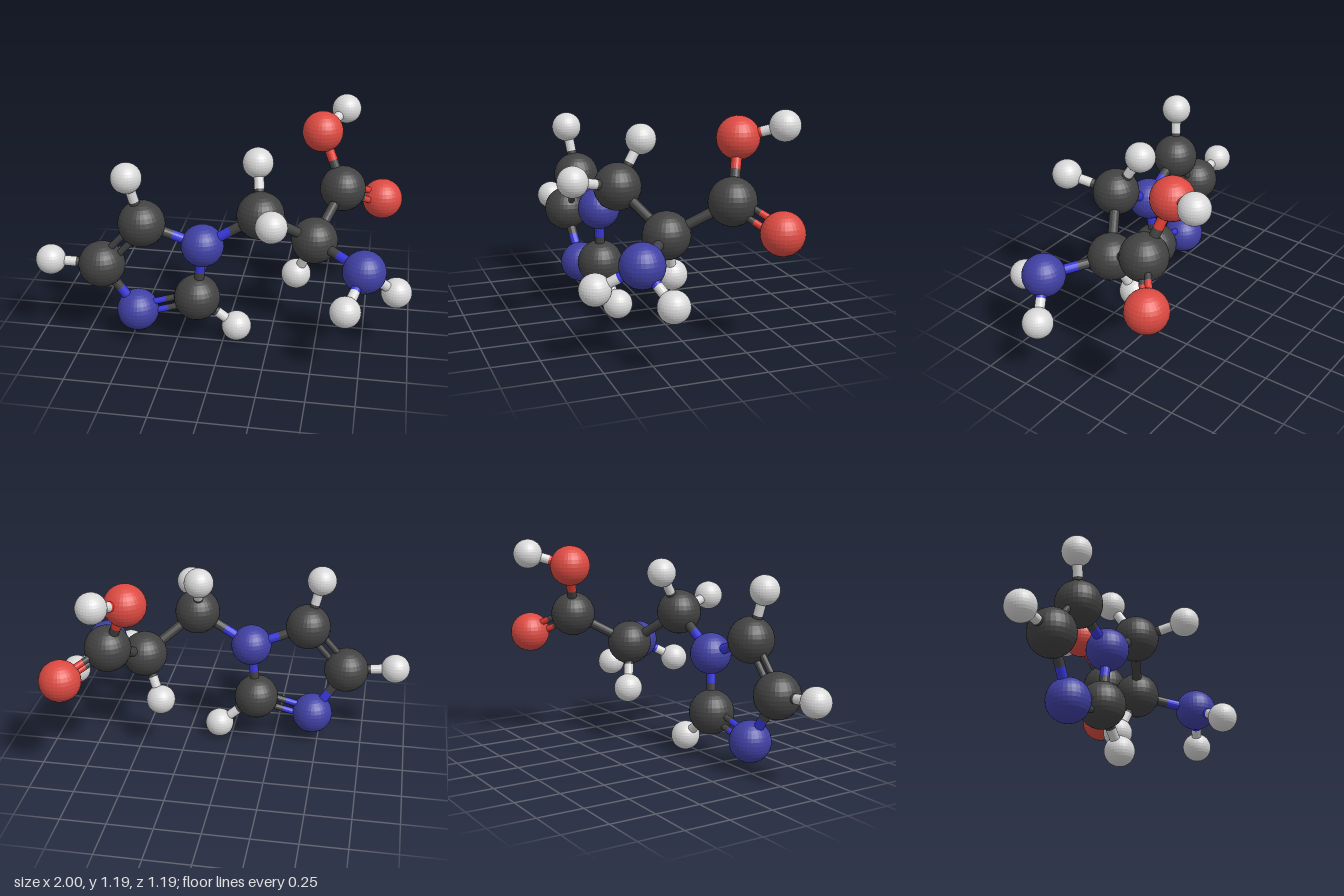
import * as THREE from 'three';

export function createModel() {
  const model = new THREE.Group();
  model.name = 'moleculeModel';

  const paint = (name, color) => {
    const m = new THREE.MeshStandardMaterial({ color, flatShading: true });
    m.name = name;
    return m;
  };
  // One ball size, ball colour and bond colour per element
  const charcoal = paint('charcoal', 0x424242), white = paint('white', 0xd8d8d8);
  const elements = {
    C: { name: 'carbon', r: 0.125, ball: charcoal, bond: charcoal },
    N: { name: 'nitrogen', r: 0.114, ball: paint('navy', 0x4040a4), bond: paint('blue', 0x3838dc) },
    O: { name: 'oxygen', r: 0.112, ball: paint('red', 0xdc4a42), bond: paint('brightRed', 0xe03c32) },
    H: { name: 'hydrogen', r: 0.081, ball: white, bond: white },
  };

  // Atom centres: element, x, y, z
  const atoms = {
    ringC1: ['C', -0.42, 0.705, 0.295],
    ringC2: ['C', -0.645, 0.45, 0.298],
    ringN1: ['N', -0.105, 0.583, 0.258],
    ringC3: ['C', -0.14, 0.261, 0.243],
    ringN2: ['N', -0.465, 0.168, 0.266],
    chainC1: ['C', 0.2, 0.775, 0.248],
    chainC2: ['C', 0.47, 0.571, 0.078],
    acidC: ['C', 0.593, 0.75, -0.227],
    acidO1: ['O', 0.465, 1.045, -0.307],
    acidO2: ['O', 0.81, 0.627, -0.4],
    amineN: ['N', 0.747, 0.521, 0.303],
    ringH1: ['H', -0.483, 0.972, 0.33],
    ringH2: ['H', -0.919, 0.468, 0.322],
    ringH3: ['H', 0.07, 0.083, 0.21],
    chainH1: ['H', 0.165, 1.009, 0.108],
    chainH2: ['H', 0.287, 0.839, 0.51],
    chainH3: ['H', 0.37, 0.325, 0.008],
    amineH1: ['H', 0.667, 0.399, 0.514],
    amineH2: ['H', 0.919, 0.363, 0.207],
    acidH: ['H', 0.58, 1.113, -0.51],
  };
  const at = (key) => new THREE.Vector3(...atoms[key].slice(1));

  // Balls
  for (const [key, [el, x, y, z]] of Object.entries(atoms)) {
    const e = elements[el];
    const ball = new THREE.Mesh(new THREE.SphereGeometry(e.r, 32, 16), e.ball);
    ball.position.set(x, y, z);
    ball.name = `${key}_${e.name}Ball`;
    model.add(ball);
  }

  // Straight rod between two points
  const up = new THREE.Vector3(0, 1, 0);
  function rod(a, b, r, material, name) {
    const dir = b.clone().sub(a);
    const mesh = new THREE.Mesh(new THREE.CylinderGeometry(r, r, dir.length(), 16), material);
    mesh.position.copy(a).lerp(b, 0.5);
    mesh.quaternion.setFromUnitVectors(up, dir.normalize());
    mesh.name = name;
    model.add(mesh);
  }

  // Each bond changes colour halfway; a third atom sets the plane of a double bond
  function bond(k1, k2, planeKey) {
    const a = at(k1), b = at(k2), mid = a.clone().lerp(b, 0.5);
    const shift = new THREE.Vector3();
    if (planeKey) {
      const dir = b.clone().sub(a).normalize();
      shift.copy(at(planeKey)).sub(a);
      shift.addScaledVector(dir, -shift.dot(dir)).setLength(0.028);
    }
    for (const s of planeKey ? [-1, 1] : [0]) {
      const r = planeKey ? 0.018 : 0.027;
      const move = (p) => p.clone().addScaledVector(shift, s);
      rod(move(a), move(mid), r, elements[atoms[k1][0]].bond, `${k1}_bond`);
      rod(move(mid), move(b), r, elements[atoms[k2][0]].bond, `${k2}_bond`);
    }
  }

  const bonds = [
    // five-sided ring
    ['ringC1', 'ringC2', 'ringN1'], ['ringC1', 'ringN1'], ['ringN1', 'ringC3'],
    ['ringC3', 'ringN2', 'ringN1'], ['ringN2', 'ringC2'],
    ['ringC1', 'ringH1'], ['ringC2', 'ringH2'], ['ringC3', 'ringH3'],
    // chain
    ['ringN1', 'chainC1'], ['chainC1', 'chainC2'], ['chainC2', 'acidC'], ['chainC2', 'amineN'],
    ['chainC1', 'chainH1'], ['chainC1', 'chainH2'], ['chainC2', 'chainH3'],
    // end groups
    ['acidC', 'acidO1'], ['acidC', 'acidO2', 'acidO1'], ['acidO1', 'acidH'],
    ['amineN', 'amineH1'], ['amineN', 'amineH2'],
  ];
  bonds.forEach((b) => bond(...b));

  return model;
}
